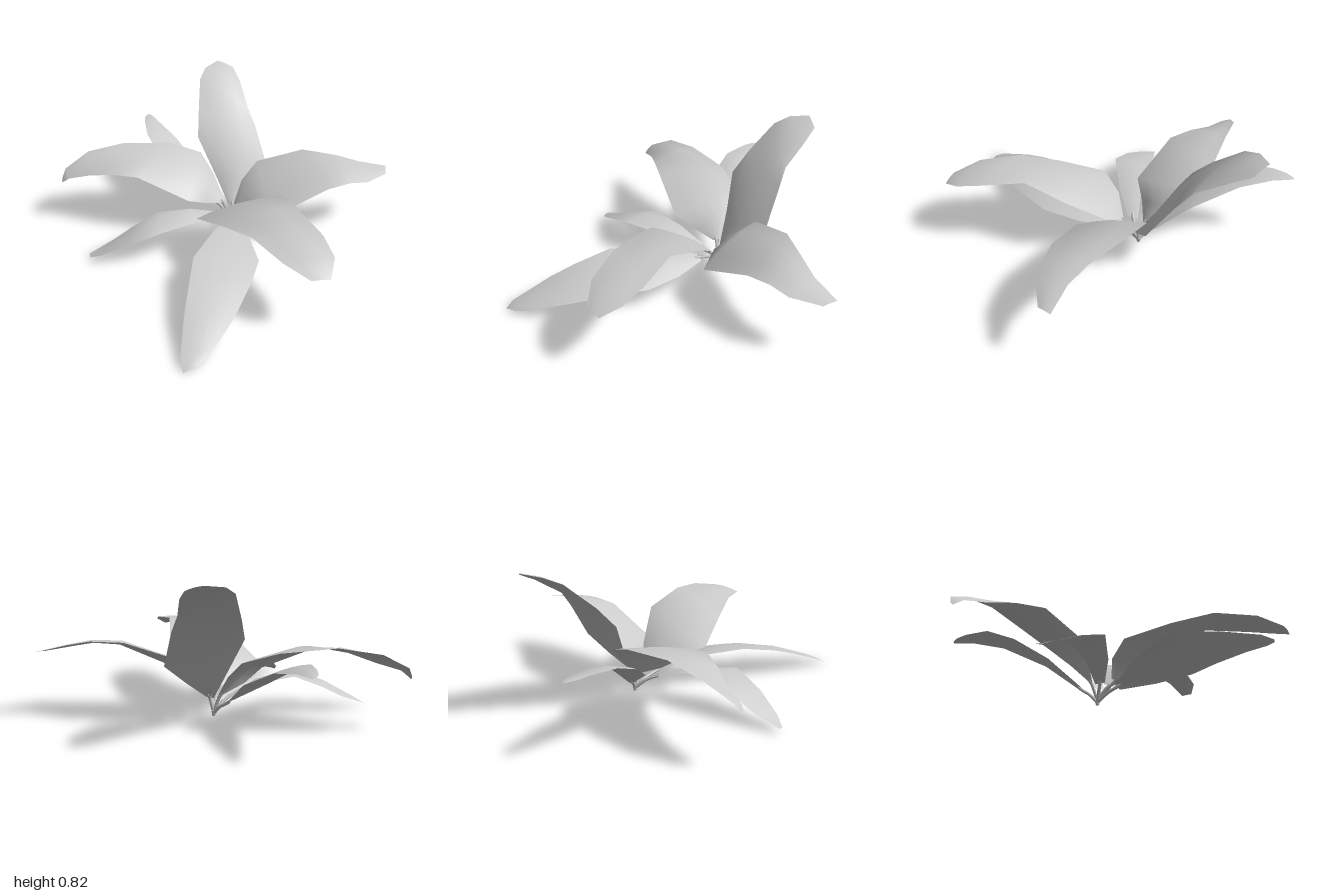
import * as THREE from 'three';

const COLUMNS = 4;

// Leaf blade: each row holds the left and right edge points, base to tip.
// The cross-section arches up in the middle by a share of the row's width.
function makeBlade(rows, arch) {
  const left = rows.map(r => new THREE.Vector3(r[0], r[1], r[2]));
  const right = rows.map(r => new THREE.Vector3(r[3], r[4], r[5]));
  const mid = left.map((p, i) => p.clone().lerp(right[i], 0.5));
  const position = [];
  const index = [];
  const last = rows.length - 1;
  for (let i = 0; i <= last; i++) {
    const across = right[i].clone().sub(left[i]);
    const along = mid[Math.min(i + 1, last)].clone().sub(mid[Math.max(i - 1, 0)]);
    const normal = across.clone().cross(along).normalize();
    for (let j = 0; j <= COLUMNS; j++) {
      const t = j / COLUMNS;
      const rise = 4 * t * (1 - t) * arch * across.length();
      const p = left[i].clone().lerp(right[i], t).addScaledVector(normal, rise);
      position.push(p.x, p.y, p.z);
      if (i < last && j < COLUMNS) {
        const a = i * (COLUMNS + 1) + j;
        const b = a + COLUMNS + 1;
        index.push(a, a + 1, b, a + 1, b + 1, b);
      }
    }
  }
  const geometry = new THREE.BufferGeometry();
  geometry.setAttribute('position', new THREE.Float32BufferAttribute(position, 3));
  geometry.setIndex(index);
  geometry.computeVertexNormals();
  return { geometry, base: mid[0], next: mid[1] };
}

export function createModel() {
  const plant = new THREE.Group();
  plant.name = 'plant';
  const grey = new THREE.MeshStandardMaterial({ color: 0xcccccc, side: THREE.DoubleSide });
  grey.name = 'leafGrey';
  const crown = new THREE.Vector3(0.03, 0.045, -0.28);

  // Adds one leaf with its thin stem running back to the crown
  function addLeaf(name, arch, rows) {
    const leaf = new THREE.Group();
    leaf.name = name;
    const { geometry, base, next } = makeBlade(rows, arch);
    const blade = new THREE.Mesh(geometry, grey);
    blade.name = name + 'Blade';
    const bend = crown.clone().lerp(base, 0.5);
    bend.y += 0.01;
    const path = new THREE.CatmullRomCurve3([crown, bend, base, base.clone().lerp(next, 0.15)]);
    const stem = new THREE.Mesh(new THREE.TubeGeometry(path, 6, 0.01, 5), grey);
    stem.name = name + 'Stem';
    leaf.add(blade, stem);
    plant.add(leaf);
  }

  addLeaf('backLeaf', 0.05, [
    [0.03, 0.13, -0.29, 0.07, 0.13, -0.27],
    [-0.06, 0.31, -0.4, 0.17, 0.23, -0.36],
    [-0.155, 0.5, -0.5, 0.27, 0.335, -0.44],
    [-0.148, 0.62, -0.61, 0.205, 0.54, -0.57],
    [-0.135, 0.765, -0.78, 0.16, 0.635, -0.645],
    [-0.1, 0.805, -0.87, 0.12, 0.74, -0.81],
    [-0.02, 0.82, -0.95, 0.08, 0.79, -0.91],
  ]);

  addLeaf('backSideLeaf', 0.05, [
    [-0.05, 0.12, -0.33, -0.03, 0.11, -0.35],
    [-0.27, 0.25, -0.4, -0.1, 0.2, -0.45],
    [-0.41, 0.36, -0.54, -0.15, 0.27, -0.53],
    [-0.485, 0.425, -0.69, -0.31, 0.385, -0.73],
    [-0.51, 0.435, -0.85, -0.42, 0.42, -0.88],
    [-0.515, 0.43, -0.92, -0.46, 0.425, -0.95],
    [-0.5, 0.425, -0.97, -0.485, 0.425, -0.98],
  ]);

  addLeaf('upperSideLeaf', 0.05, [
    [-0.02, 0.15, -0.28, 0.0, 0.16, -0.31],
    [-0.13, 0.2, -0.21, -0.06, 0.28, -0.42],
    [-0.22, 0.27, -0.13, -0.14, 0.38, -0.52],
    [-0.52, 0.405, -0.19, -0.33, 0.44, -0.545],
    [-0.68, 0.39, -0.25, -0.62, 0.465, -0.505],
    [-0.83, 0.35, -0.31, -0.84, 0.43, -0.47],
    [-0.95, 0.32, -0.33, -0.98, 0.35, -0.4],
    [-1.0, 0.28, -0.35, -1.0, 0.3, -0.37],
  ]);

  addLeaf('lowerSideLeaf', 0.04, [
    [-0.04, 0.12, -0.17, -0.05, 0.12, -0.23],
    [-0.18, 0.18, -0.03, -0.21, 0.19, -0.165],
    [-0.39, 0.21, 0.12, -0.4, 0.215, -0.1],
    [-0.57, 0.14, 0.13, -0.55, 0.15, -0.05],
    [-0.73, 0.06, 0.11, -0.67, 0.085, -0.01],
    [-0.8, 0.025, 0.08, -0.81, 0.03, 0.05],
  ]);

  addLeaf('lowFrontLeaf', 0.05, [
    [0.06, 0.1, -0.14, 0.01, 0.12, -0.14],
    [0.14, 0.115, 0.06, -0.07, 0.19, 0.06],
    [0.175, 0.13, 0.28, -0.19, 0.213, 0.34],
    [0.12, 0.13, 0.47, -0.22, 0.165, 0.56],
    [0.02, 0.1, 0.7, -0.24, 0.12, 0.7],
    [-0.09, 0.05, 0.87, -0.26, 0.03, 0.93],
    [-0.17, 0.02, 0.95, -0.245, 0.0, 0.98],
  ]);

  addLeaf('highFrontLeaf', 0.05, [
    [0.1, 0.17, -0.17, 0.02, 0.16, -0.17],
    [0.17, 0.24, -0.13, -0.1, 0.22, -0.07],
    [0.325, 0.4, 0.03, -0.17, 0.28, 0.07],
    [0.37, 0.475, 0.26, -0.02, 0.37, 0.28],
    [0.485, 0.445, 0.48, 0.12, 0.43, 0.47],
    [0.525, 0.41, 0.62, 0.26, 0.41, 0.66],
    [0.49, 0.36, 0.735, 0.39, 0.37, 0.75],
  ]);

  addLeaf('oppositeSideLeaf', 0.05, [
    [0.06, 0.16, -0.26, 0.08, 0.14, -0.2],
    [0.11, 0.27, -0.35, 0.15, 0.16, -0.13],
    [0.21, 0.37, -0.415, 0.28, 0.225, -0.01],
    [0.49, 0.45, -0.41, 0.6, 0.37, -0.07],
    [0.69, 0.44, -0.35, 0.74, 0.385, -0.11],
    [0.83, 0.41, -0.32, 0.85, 0.37, -0.14],
    [0.998, 0.37, -0.33, 0.985, 0.36, -0.25],
  ]);

  // Small crown where the stems meet
  const knot = new THREE.Mesh(new THREE.CylinderGeometry(0.015, 0.01, 0.03, 6), grey);
  knot.name = 'crown';
  knot.position.copy(crown);
  plant.add(knot);

  return plant;
}
